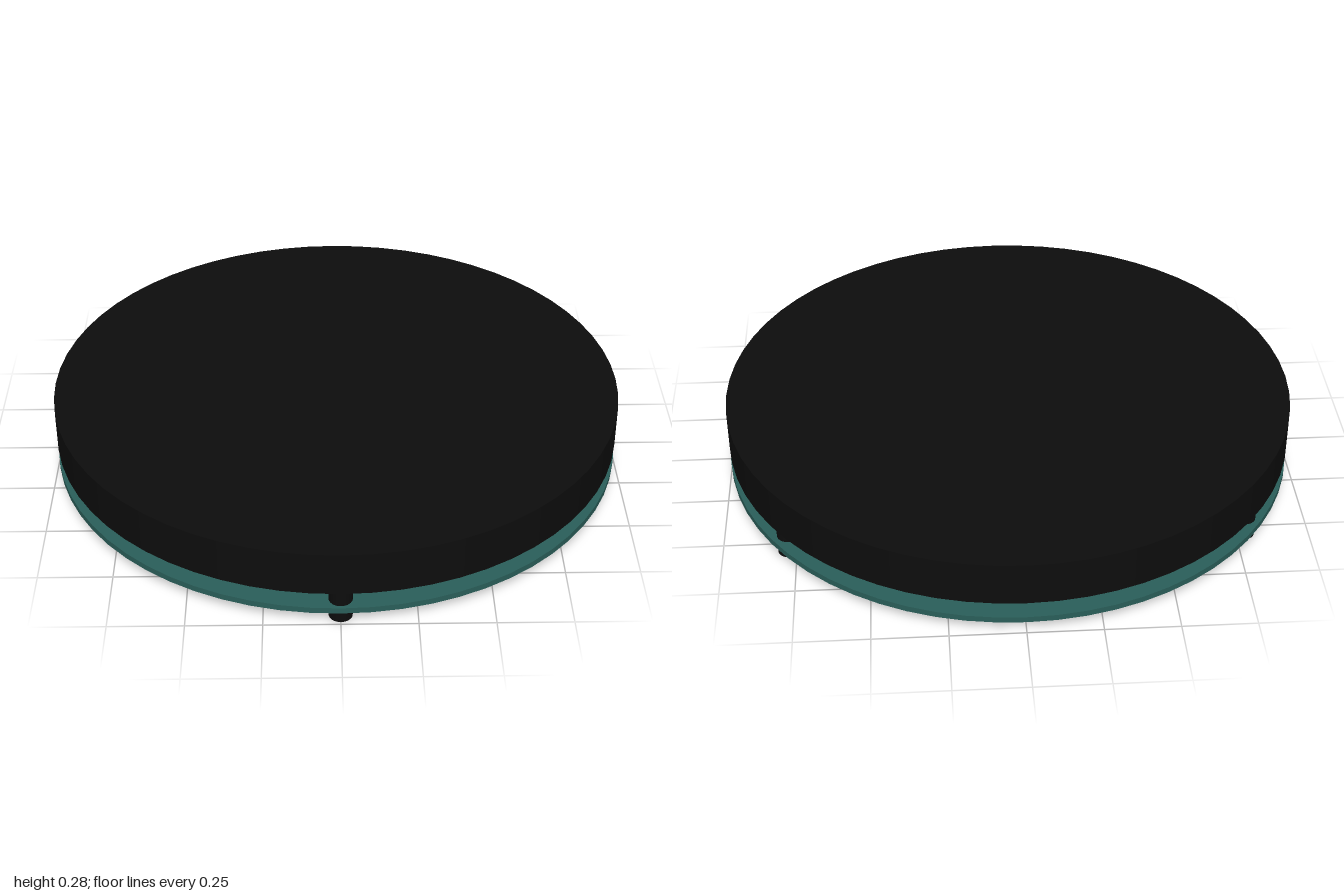
import * as THREE from 'three';

export function createModel() {
  const group = new THREE.Group();
  const black = new THREE.MeshStandardMaterial({ color: 0x0d0d0d });
  const teal = new THREE.MeshStandardMaterial({ color: 0x2a5f5a });

  // Upright cylinder spanning the heights y0 to y1
  function disc(name, radius, y0, y1, x, z, sides, material) {
    const mesh = new THREE.Mesh(new THREE.CylinderGeometry(radius, radius, y1 - y0, sides), material);
    mesh.name = name;
    mesh.position.set(x, (y0 + y1) / 2, z);
    group.add(mesh);
  }

  // Thick top slab and thin lower plate
  disc('topSlab', 1, 0.125, 0.28, 0, 0, 64, black);
  disc('lowerPlate', 1, 0.045, 0.066, 0, 0, 64, teal);

  // Three feet running through the plate: one at the front, two at the back
  const feet = [['frontFoot', 0, 0.95], ['backLeftFoot', 0.775, -0.535], ['backRightFoot', -0.775, -0.535]];
  for (const [name, x, z] of feet) disc(name, 0.039, 0, 0.126, x, z, 32, black);

  return group;
}
